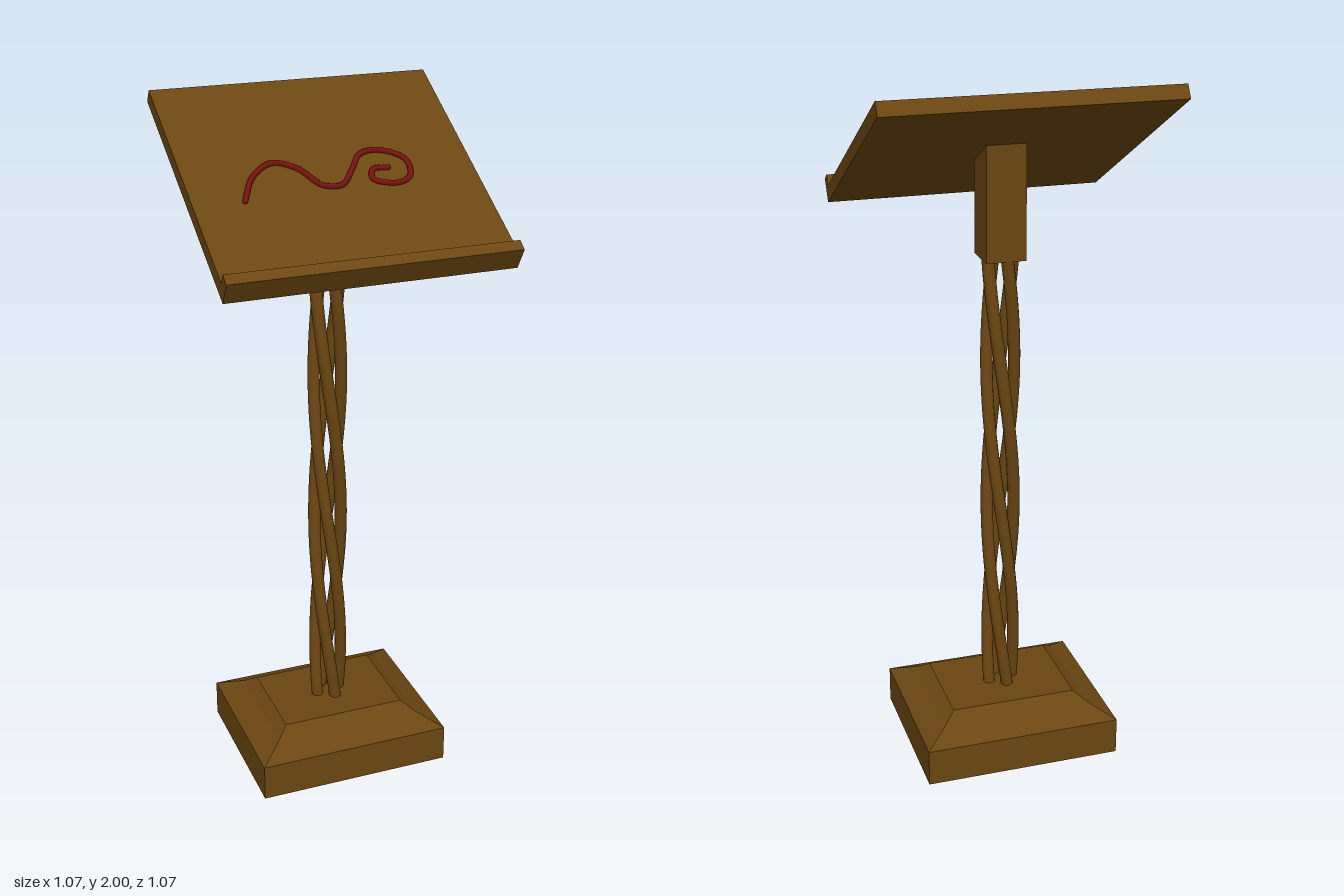
import * as THREE from 'three';

const wood = new THREE.MeshStandardMaterial({ color: 0x6b4612 });
const red = new THREE.MeshStandardMaterial({ color: 0x7a1010 });
const POST_Z = -0.038; // post and base sit slightly behind the desk centre

function mesh(name, geometry, material = wood) {
  const m = new THREE.Mesh(geometry, material);
  m.name = name;
  return m;
}

// Four-sided block whose half sizes go from [x, z] at y0 to [x, z] at y1
function taperedBlock(y0, y1, low, high) {
  const g = new THREE.BoxGeometry(2, 1, 2);
  const p = g.attributes.position;
  for (let i = 0; i < p.count; i++) {
    const top = p.getY(i) > 0;
    const [hx, hz] = top ? high : low;
    p.setXYZ(i, p.getX(i) * hx, top ? y1 : y0, p.getZ(i) * hz + POST_Z);
  }
  g.computeVertexNormals();
  return g;
}

// Side profile of [z, y] points, extruded across x
function sideProfile(points, width) {
  const shape = new THREE.Shape(points.map(([z, y]) => new THREE.Vector2(z, y)));
  return new THREE.ExtrudeGeometry(shape, { depth: width, bevelEnabled: false })
    .translate(0, 0, -width / 2)
    .rotateY(-Math.PI / 2);
}

// Height of the sloping reading surface
const deskY = (z) => 2 - 0.558 * (z + 0.326);

export function createModel() {
  const model = new THREE.Group();
  model.name = 'lectern';

  // Stepped foot: plinth and two sloping tiers
  const base = new THREE.Group();
  base.name = 'base';
  const tiers = [[0, 0.29, 0.243], [0.11, 0.29, 0.243], [0.145, 0.22, 0.173], [0.17, 0.186, 0.139]];
  for (let i = 0; i < 3; i++) {
    const [y0, ...low] = tiers[i];
    const [y1, ...high] = tiers[i + 1];
    base.add(mesh('baseTier', taperedBlock(y0, y1, low, high)));
  }
  model.add(base);

  // Post of four strands twisted around each other
  const post = new THREE.Group();
  post.name = 'twistedPost';
  for (let k = 0; k < 4; k++) {
    const points = [];
    for (let i = 0; i <= 24; i++) {
      const y = 0.15 + (1.37 * i) / 24;
      const angle = (k * Math.PI) / 2 + Math.PI / 4 + ((y - 0.9) / 0.44) * (Math.PI / 2);
      points.push(new THREE.Vector3(0.039 * Math.cos(angle), y, POST_Z + 0.039 * Math.sin(angle)));
    }
    post.add(mesh('strand', new THREE.TubeGeometry(new THREE.CatmullRomCurve3(points), 64, 0.018, 10)));
  }
  model.add(post);

  // Block under the desk, cut to its slope
  const back = POST_Z - 0.0565, front = POST_Z + 0.0565;
  model.add(mesh('deskMount', sideProfile(
    [[back, 1.5], [front, 1.5], [front, 1.765], [back, 1.828]], 0.113)));

  // Sloping desk with a lip along its lower edge
  model.add(mesh('desk', sideProfile(
    [[-0.354, 1.965], [0.308, 1.6], [0.343, 1.66], [0.315, 1.678], [0.3, deskY(0.3)], [-0.332, 2]], 0.81)));

  // Curling line inlaid on the desk, as [x, z] in plan
  const curl = [
    [-0.14, 0.235], [-0.16, 0.15], [-0.14, 0.075], [-0.08, 0.05], [0, 0.058], [0.04, 0.025],
    [0.04, -0.04], [0.035, -0.105], [0.07, -0.15], [0.14, -0.168], [0.175, -0.12],
    [0.155, -0.075], [0.1, -0.047], [0.085, -0.078], [0.115, -0.11],
  ].map(([x, z]) => {
    const across = (x - z) * Math.SQRT1_2, forward = (x + z) * Math.SQRT1_2;
    return new THREE.Vector3(across, deskY(forward) + 0.002, forward);
  });
  const line = new THREE.CatmullRomCurve3(curl);
  const inlay = mesh('curlInlay', new THREE.TubeGeometry(line, 120, 0.008, 8), red);
  model.add(inlay);
  for (const end of [curl[0], curl[curl.length - 1]]) {
    const cap = mesh('curlEnd', new THREE.SphereGeometry(0.008, 8, 6), red);
    cap.position.copy(end);
    model.add(cap);
  }

  // The whole stand is turned an eighth of a circle
  model.rotation.y = Math.PI / 4;
  const root = new THREE.Group();
  root.name = 'lecternStand';
  root.add(model);
  return root;
}
